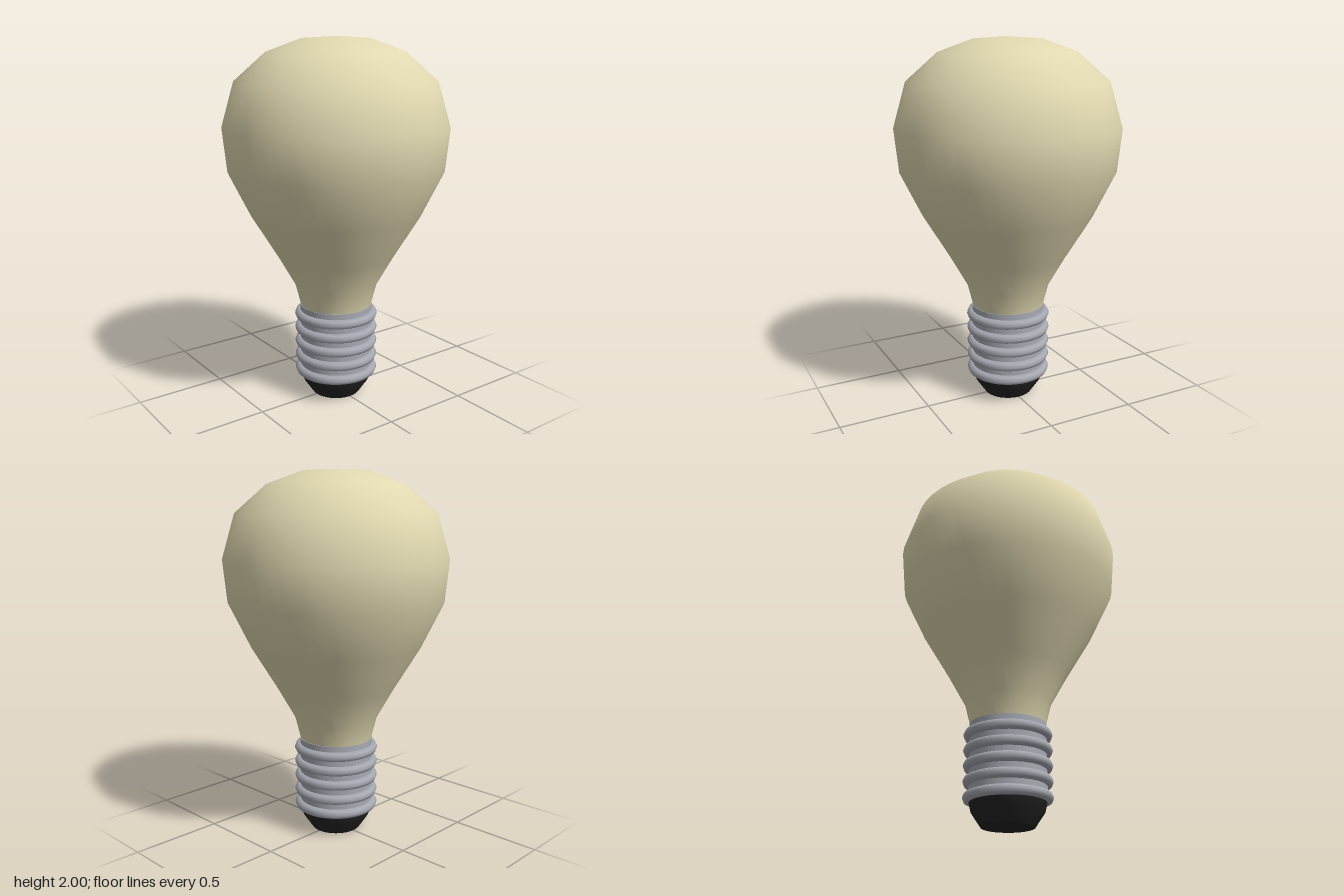
import * as THREE from 'three';

const SEGMENTS = 48;

// Revolves a profile of [radius, height] pairs, listed from bottom to top
function lathe(profile) {
  return new THREE.LatheGeometry(profile.map(([r, y]) => new THREE.Vector2(r, y)), SEGMENTS);
}

export function createModel() {
  const glass = new THREE.MeshStandardMaterial({ name: 'warm cream glass', color: 0xe0d8b0 });
  const metal = new THREE.MeshStandardMaterial({ name: 'grey metal', color: 0xa6a9b2 });
  const black = new THREE.MeshStandardMaterial({ name: 'black insulator', color: 0x222222 });

  const model = new THREE.Group();
  model.name = 'lightBulb';
  function add(name, geometry, material, y = 0, parent = model) {
    const mesh = new THREE.Mesh(geometry, material);
    mesh.name = name;
    mesh.position.y = y;
    parent.add(mesh);
    return mesh;
  }

  // Glass envelope: narrow neck swelling to a rounded crown
  add('glassBulb', lathe([
    [0.2, 0.53], [0.23, 0.65], [0.325, 0.82], [0.47, 1.06], [0.587, 1.3],
    [0.61, 1.53], [0.54, 1.77], [0.37, 1.92], [0.18, 1.99], [0, 2],
  ]), glass);

  // Screw cap: a sleeve carrying five rounded thread rings
  const cap = new THREE.Group();
  cap.name = 'screwCap';
  model.add(cap);
  add('capSleeve', new THREE.CylinderGeometry(0.203, 0.203, 0.41, SEGMENTS), metal, 0.325, cap);
  const ring = new THREE.TorusGeometry(0.206, 0.027, 8, SEGMENTS).rotateX(Math.PI / 2);
  for (let i = 0; i < 5; i++) add('threadRing', ring, metal, 0.145 + i * 0.082, cap);

  // Tapered insulator with a flat contact face
  add('insulator', lathe([[0.137, 0], [0.188, 0.075], [0.2, 0.125]]), black);
  add('contactFace', new THREE.CircleGeometry(0.137, SEGMENTS).rotateX(Math.PI / 2), black);

  return model;
}
